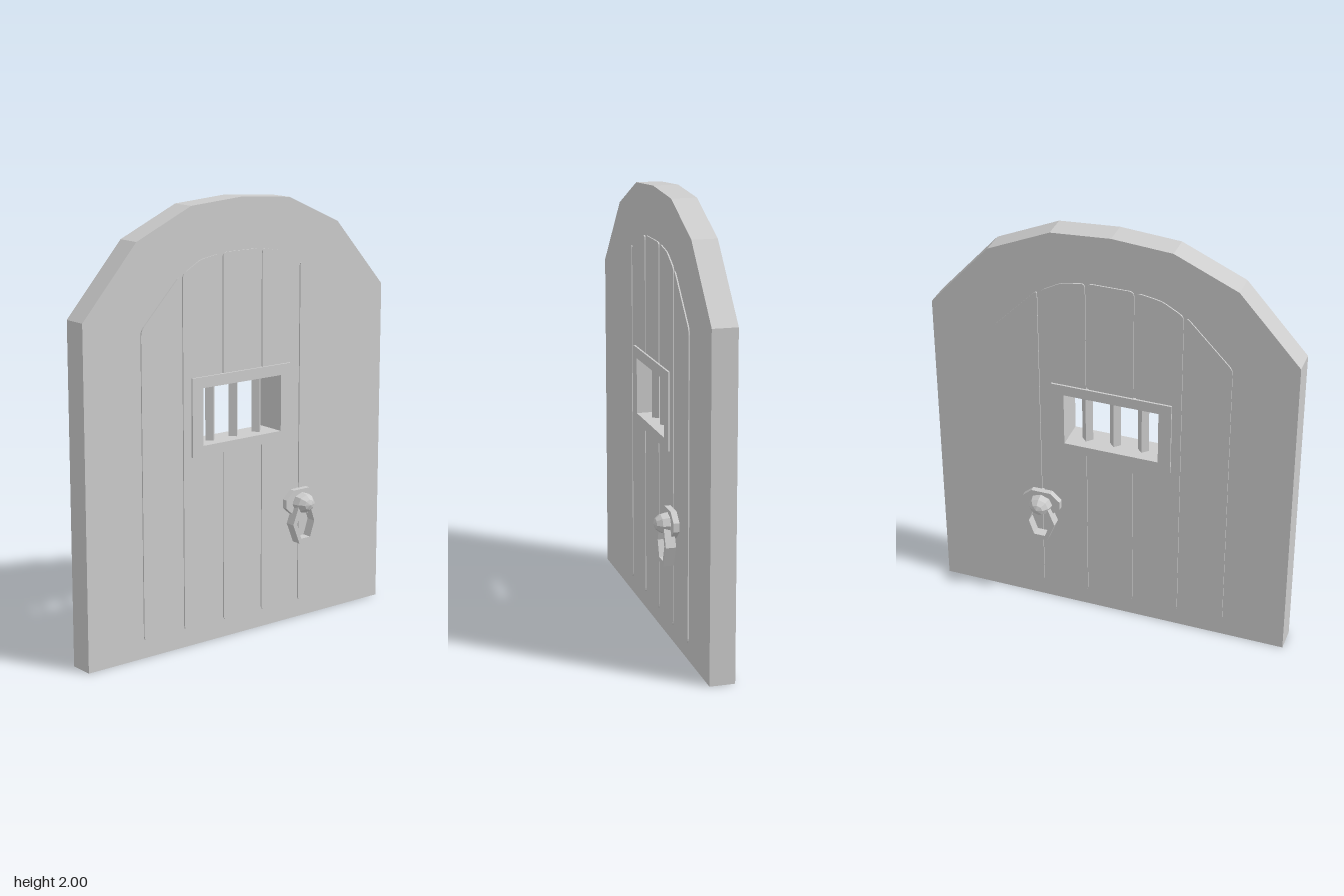
import * as THREE from 'three';

const stone = new THREE.MeshStandardMaterial({ color: 0xcccccc, flatShading: true });
stone.name = 'pale grey';

const V = (p) => new THREE.Vector2(p[0], p[1]);

// Polygon with softly rounded corners
function rounded(points, r) {
  const shape = new THREE.Shape();
  points.forEach((p, i) => {
    const c = V(p);
    const a = V(points[(i + points.length - 1) % points.length]).sub(c).setLength(r).add(c);
    const b = V(points[(i + 1) % points.length]).sub(c).setLength(r).add(c);
    if (i === 0) shape.moveTo(a.x, a.y);
    else shape.lineTo(a.x, a.y);
    shape.quadraticCurveTo(c.x, c.y, b.x, b.y);
  });
  shape.closePath();
  return shape;
}

const polygon = (points) => new THREE.Shape(points.map(V));
const rect = (x0, y0, x1, y1) => [[x0, y0], [x1, y0], [x1, y1], [x0, y1]];

// Flat plate running from z0 to z1
function plate(name, shape, z0, z1, hole) {
  if (hole) shape.holes.push(new THREE.Path(hole.map(V)));
  const geo = new THREE.ExtrudeGeometry(shape, { depth: z1 - z0, bevelEnabled: false, curveSegments: 3 });
  geo.translate(0, 0, z0);
  const mesh = new THREE.Mesh(geo, stone);
  mesh.name = name;
  return mesh;
}

function createHandle() {
  const handle = new THREE.Group();
  handle.name = 'handle';
  // Octagonal backing plate
  const backing = [[-0.092, 0.55], [-0.047, 0.51], [0.047, 0.51], [0.092, 0.55],
    [0.092, 0.59], [0.047, 0.63], [-0.047, 0.63], [-0.092, 0.59]];
  handle.add(plate('handlePlate', polygon(backing), 0.05, 0.09));
  // Faceted domed knob
  const knob = new THREE.Mesh(new THREE.SphereGeometry(1, 8, 6), stone);
  knob.name = 'knob';
  knob.rotation.x = Math.PI / 2;
  knob.scale.set(0.056, 0.062, 0.049);
  knob.position.set(0, 0.566, 0.092);
  handle.add(knob);
  // Six-sided hanging ring
  const hexagon = (w, h, t) => [[-t, -h], [t, -h], [w, 0], [t, h], [-t, h], [-w, 0]]
    .map(([x, y]) => [x, y + 0.475]);
  handle.add(plate('ring', polygon(hexagon(0.076, 0.095, 0.038)), 0.073, 0.12, hexagon(0.052, 0.073, 0.027)));
  return handle;
}

export function createModel() {
  const door = new THREE.Group();
  door.name = 'archedDoor';
  const opening = rect(-0.225, 0.92, 0.22, 1.18);

  // Surround slab with faceted arch
  const slab = [[-0.845, 0], [0.845, 0], [0.845, 1.535], [0.565, 1.85], [0.275, 1.98],
    [0, 2], [-0.275, 1.98], [-0.565, 1.85], [-0.845, 1.535]];
  door.add(plate('slab', polygon(slab), -0.057, 0.057, opening));

  // Raised planks, cut away around the window
  const outer = [[0.339, 0.08], [0.55, 0.08], [0.55, 1.47], [0.339, 1.69]];
  const inner = [[0.117, 0.08], [0.327, 0.08], [0.327, 1.69], [0.23, 1.745], [0.117, 1.765],
    [0.117, 1.2], [0.25, 1.2], [0.25, 0.9], [0.117, 0.9]];
  for (const s of [-1, 1]) {
    for (const points of [outer, inner]) {
      const side = points.map(([x, y]) => [x * s, y]);
      door.add(plate('plank', rounded(side, 0.022), -0.063, 0.063));
    }
  }
  const lower = rect(-0.105, 0.08, 0.105, 0.9);
  const upper = [[-0.105, 1.2], [0.105, 1.2], [0.105, 1.767], [-0.105, 1.767]];
  for (const points of [lower, upper]) {
    door.add(plate('middlePlank', rounded(points, 0.022), -0.063, 0.063));
  }

  // Window frame and three bars
  door.add(plate('windowFrame', polygon(rect(-0.284, 0.874, 0.28, 1.23)), -0.072, 0.072, opening));
  for (const x of [-0.133, 0, 0.133]) {
    const bar = new THREE.Mesh(new THREE.CylinderGeometry(0.026, 0.026, 0.28, 4), stone);
    bar.name = 'windowBar';
    bar.position.set(x, 1.05, 0);
    door.add(bar);
  }

  // Matching handles on both faces
  for (const turn of [0, Math.PI]) {
    const handle = createHandle();
    handle.position.x = 0.335;
    handle.rotation.y = turn;
    door.add(handle);
  }
  return door;
}
